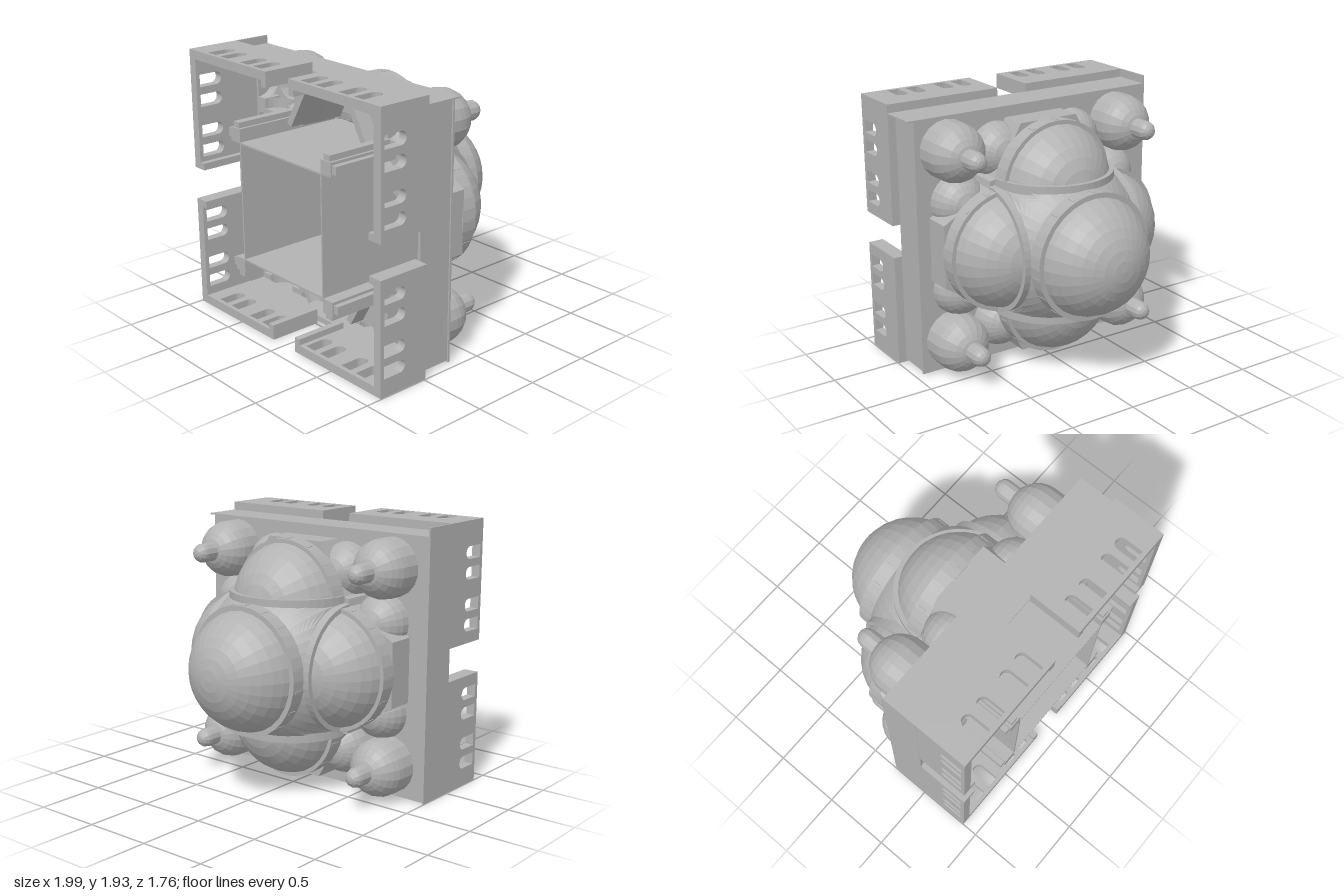
import * as THREE from 'three';

const stone = new THREE.MeshStandardMaterial({ color: 0xb2b2b2, side: THREE.DoubleSide, flatShading: true });
stone.name = 'stone grey';

// The building lies on its back: its height runs towards -z, its open underside faces +z.
export function createModel() {
  const root = new THREE.Group();
  root.name = 'domedHall';
  root.position.y = 0.94;

  function add(parent, name, geo, x = 0, y = 0, z = 0) {
    const m = new THREE.Mesh(geo, stone);
    m.name = name;
    m.position.set(x, y, z);
    parent.add(m);
    return m;
  }
  const box = (parent, name, w, h, d, x, y, z) => add(parent, name, new THREE.BoxGeometry(w, h, d), x, y, z);
  const extrude = (shape, depth) => new THREE.ExtrudeGeometry(shape, { depth, bevelEnabled: false, curveSegments: 12 });
  const polygon = pts => new THREE.Shape(pts.map(p => new THREE.Vector2(p[0], p[1])));

  // Profile of [radius, height] turned round the height axis, whole or as the half facing +y
  function revolve(pts, segs, half = false) {
    const g = new THREE.LatheGeometry(pts.map(p => new THREE.Vector2(p[0], p[1])), segs,
      half ? -Math.PI / 2 : 0, half ? Math.PI : Math.PI * 2);
    return g.rotateX(-Math.PI / 2);
  }
  function domeProfile(r, base, steps) {
    const pts = [];
    for (let i = 0; i <= steps; i++) {
      const a = (i / steps) * Math.PI / 2;
      pts.push([r * Math.cos(a), base + r * Math.sin(a)]);
    }
    return pts;
  }
  const band = (ri, ro, h0, h1) => [[ri, h0], [ro, h0], [ro, h1], [ri, h1], [ri, h0]];

  // Four-lobed outline: central square with a half octagon on each side
  const lobe = [[-0.45, 0.45], [-0.40, 0.46], [-0.20, 0.82], [0.20, 0.82], [0.40, 0.46]];
  function lobes(e) {
    const pts = [];
    for (let k = 0; k < 4; k++) {
      const c = Math.round(Math.cos(-k * Math.PI / 2)), s = Math.round(Math.sin(-k * Math.PI / 2));
      for (const [x, y] of lobe) {
        const X = x + Math.sign(x) * e, Y = y + e;
        pts.push([X * c - Y * s, X * s + Y * c]);
      }
    }
    return pts;
  }
  const corners = [[1, 1], [-1, 1], [-1, -1], [1, -1]];
  const rect = (l, r, b, t) => polygon([[l, b], [r, b], [r, t], [l, t]]);

  // Ceiling with vaulted recesses, the thin roof above it and the skirt below
  const ceiling = rect(-0.985, 0.935, -0.92, 0.92), skirt = rect(-0.985, 0.935, -0.92, 0.92);
  const roof = rect(-0.99, 0.945, -0.93, 0.925);
  skirt.holes.push(rect(-0.93, 0.91, -0.88, 0.9));
  ceiling.holes.push(polygon(lobes(0)));
  roof.holes.push(polygon(lobes(0)));
  const a = 0.135, b = 0.21;
  const cross = [[a, a], [a, b], [-a, b], [-a, a], [-b, a], [-b, -a], [-a, -a], [-a, -b], [a, -b], [a, -a], [b, -a], [b, a]];
  for (const [sx, sy] of corners) {
    ceiling.holes.push(polygon(cross.map(([x, y]) => [x + sx * 0.7, y + sy * 0.7])));
    const hole = new THREE.Path();
    hole.absarc(sx * 0.7, sy * 0.7, 0.14, 0, Math.PI * 2);
    roof.holes.push(hole);
  }
  // Small recesses along each edge
  for (const x of [-0.33, 0, 0.33]) {
    for (const s of [-1, 1]) {
      const l = x - 0.125, r = x + 0.125, n = s * 0.845, f = s * 0.905;
      ceiling.holes.push(polygon([[l, n], [r, n], [r, f], [l, f]]));
      ceiling.holes.push(polygon([[n, l], [n, r], [f, r], [f, l]]));
    }
  }
  add(root, 'ceiling', extrude(ceiling, 0.135), 0, 0, 0.225);
  add(root, 'skirt', extrude(skirt, 0.125), 0, 0, 0.36);
  add(root, 'roof', extrude(roof, 0.015), 0, 0, 0.21);
  // Thin cover plates running past the corners
  box(root, 'sideFin', 0.012, 1.93, 0.28, -0.99, 0.025, 0.35);
  box(root, 'upperFin', 1.985, 0.01, 0.28, 0.0, 0.925, 0.35);

  // Lower walls with arched windows and a doorway gap in each side
  for (let k = 0; k < 4; k++) {
    const wallSide = new THREE.Group();
    wallSide.name = 'wallSide';
    wallSide.rotation.z = k * Math.PI / 2;
    root.add(wallSide);
    const dist = [0.99, 0.995, 0.94, 0.995][k];
    for (const s of [-1, 1]) {
      const len = k % 2 === 0 ? 0.995 : s * (2 - k) > 0 ? 0.99 : 0.94;
      const wall = polygon([[s * 0.12, 0.485], [s * len, 0.485], [s * len, 0.88], [s * 0.12, 0.88]]);
      for (const x of [0.25, 0.395, 0.62, 0.765]) {
        const c = s * x, w = new THREE.Path();
        w.moveTo(c - 0.045, 0.85);
        w.lineTo(c + 0.045, 0.85);
        w.lineTo(c + 0.045, 0.715);
        w.absarc(c, 0.715, 0.045, 0, Math.PI, true);
        w.closePath();
        wall.holes.push(w);
      }
      add(wallSide, 'wall', extrude(wall, 0.065).rotateX(Math.PI / 2), 0, dist, 0);
      box(wallSide, 'doorJamb', 0.05, 0.05, 0.395, s * 0.145, dist - 0.085, 0.6825);
    }
  }

  // Raised octagonal walls below the half domes
  const ring = polygon(lobes(0.03));
  ring.holes.push(polygon(lobes(0)));
  add(root, 'octagonWall', extrude(ring, 0.2), 0, 0, 0.01);

  // Curved corner surfaces from the square crossing up to the round drum
  const pend = new THREE.RingGeometry(0.44, 1, 48, 8);
  const p = pend.attributes.position;
  for (let i = 0; i < p.count; i++) {
    const x = p.getX(i), y = p.getY(i), r = Math.hypot(x, y);
    const edge = 0.45 * r / Math.max(Math.abs(x), Math.abs(y));
    const q = 0.44 + (r - 0.44) / 0.56 * (edge - 0.44);
    p.setXYZ(i, x / r * q, y / r * q, -Math.sqrt(Math.max(0, 0.6364 ** 2 - q * q)));
  }
  pend.computeVertexNormals();
  add(root, 'pendentives', pend);

  function drumWindows(parent, r, h, n, from, span, y) {
    for (let i = 0; i < n; i++) {
      const t = from + span * (i + 0.5) / n;
      const w = box(parent, 'drumWindow', 0.008, 0.025, 0.065, r * Math.cos(t), y + r * Math.sin(t), -h);
      w.rotation.z = t;
    }
  }

  // Main dome
  add(root, 'mainDrum', revolve(band(0.42, 0.458, 0.435, 0.55), 36));
  add(root, 'mainDome', revolve(domeProfile(0.437, 0.445, 9), 28));
  drumWindows(root, 0.456, 0.495, 18, 0, Math.PI * 2, 0);

  // Each side: crossing wall, arch, half dome with its flat underside, small vaults and side domes
  const underside = polygon([[-0.38, 0.5], [-0.20, 0.82], [0.20, 0.82], [0.38, 0.5]]);
  const smallVault = new THREE.CylinderGeometry(0.124, 0.124, 0.06, 12, 1, true, Math.PI / 2, Math.PI);
  for (let k = 0; k < 4; k++) {
    const bay = new THREE.Group();
    bay.name = 'domeBay';
    bay.rotation.z = k * Math.PI / 2;
    root.add(bay);
    box(bay, 'crossingWall', 0.87, 0.012, 0.88, 0, 0.43, 0.44);
    add(bay, 'halfDomeUnderside', new THREE.ShapeGeometry(underside), 0, 0, 0.012);
    for (const x of [-0.33, 0, 0.33]) add(bay, 'edgeVault', smallVault, x, 0.875, 0.352);
    const arch = new THREE.Shape();
    arch.absarc(0, 0, 0.45, 0, Math.PI, false);
    arch.absarc(0, 0, 0.405, Math.PI, 0, true);
    add(bay, 'arch', extrude(arch, 0.07).rotateX(-Math.PI / 2), 0, 0.43, 0);
    add(bay, 'halfDrum', revolve(band(0.41, 0.44, -0.02, 0.1), 18, true), 0, 0.42, 0);
    add(bay, 'halfDome', revolve(domeProfile(0.425, 0, 8), 14, true), 0, 0.42, 0);
    drumWindows(bay, 0.438, 0.05, 7, 0.1, Math.PI - 0.2, 0.42);
    for (const s of [-1, 1]) {
      const d = add(bay, 'sideDome', revolve(domeProfile(0.2, 0, 6), 12, true), s * 0.32, 0.64, 0.21);
      d.rotation.z = -s * Math.PI / 3;
      const screen = box(bay, 'slantedScreen', 0.05, 0.38, 0.25, s * 0.31, 0.65, 0.35);
      screen.rotation.z = s * 0.53;
    }
  }

  // Corner domes with lanterns, vaulted recesses and piers
  const capped = (r, h0, h1, n) => [[r, h0], ...domeProfile(r, h1, n)];
  const vault = new THREE.CylinderGeometry(0.134, 0.134, 0.076, 12, 1, true, Math.PI / 2, Math.PI);
  for (const [sx, sy] of corners) {
    const c = new THREE.Group();
    c.name = 'cornerDome';
    c.position.set(sx * 0.7, sy * 0.7, 0);
    root.add(c);
    add(c, 'dome', revolve(capped(0.208, -0.22, -0.1, 7), 18));
    add(c, 'lantern', revolve(capped(0.07, 0.08, 0.185, 4), 12));
    for (let k = 0; k < 4; k++) {
      const arm = new THREE.Group();
      arm.name = 'vaultArm';
      arm.rotation.z = k * Math.PI / 2;
      c.add(arm);
      add(arm, 'vault', vault, 0, 0.172, 0.362);
    }
    box(root, 'pier', 0.1, 0.1, 0.67, sx * 0.48, sy * 0.48, 0.545);
    box(root, 'pierArm', 0.06, 0.14, 0.6, sx * 0.48, sy * 0.5, 0.57);
    box(root, 'pierArm', 0.14, 0.06, 0.6, sx * 0.5, sy * 0.48, 0.57);
  }
  return root;
}
